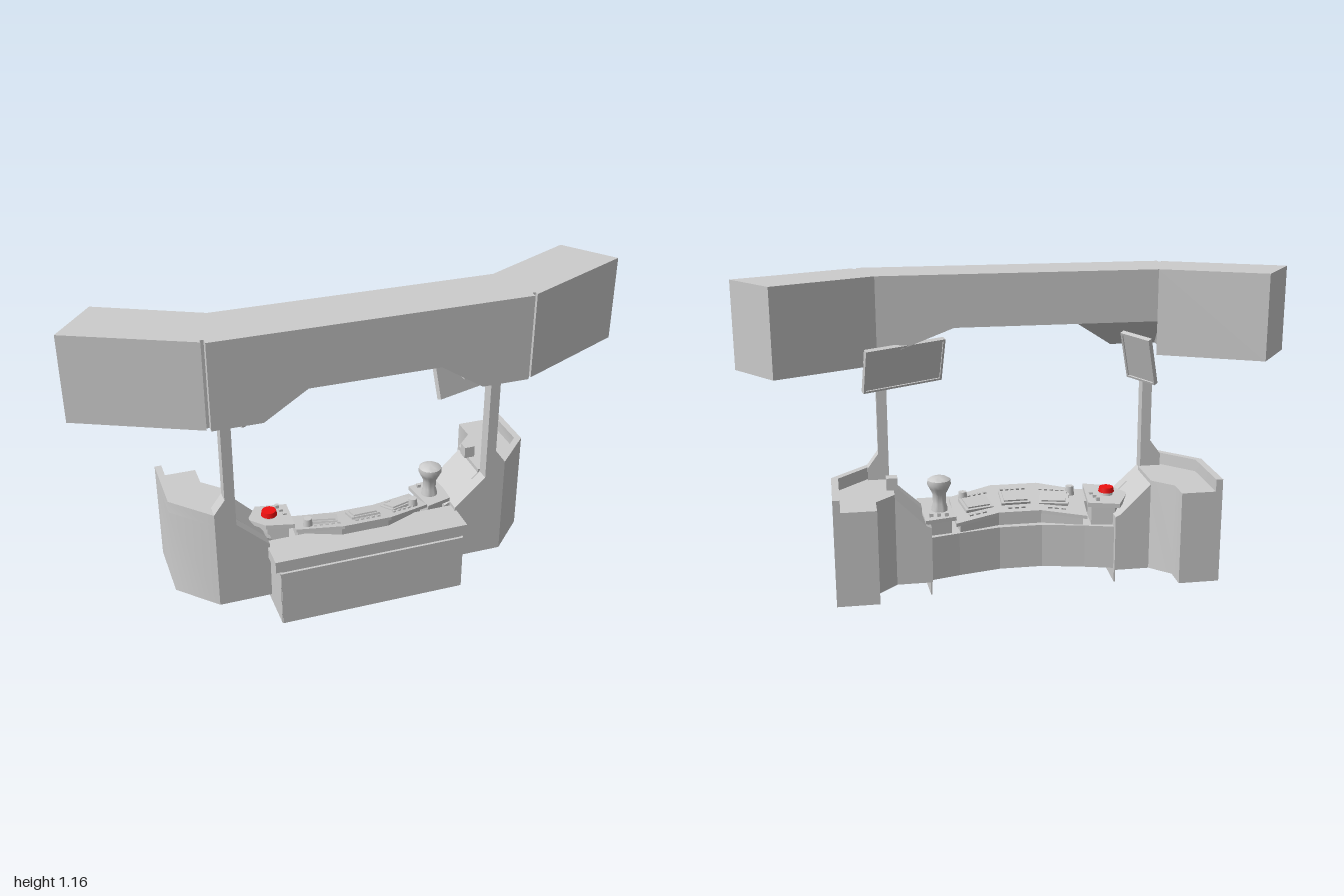
import * as THREE from 'three';
import { toCreasedNormals } from 'three/addons/utils/BufferGeometryUtils.js';

const grey = new THREE.MeshStandardMaterial({ color: 0xcccccc, side: THREE.DoubleSide });
const red = new THREE.MeshStandardMaterial({ color: 0xee1111 });

const shapeOf = (pts) => new THREE.Shape(pts.map(([x, y]) => new THREE.Vector2(x, y)));
const mirror = (pts, s) => pts.map(([a, b]) => [a * s, b]);
const extrude = (pts, depth) =>
  new THREE.ExtrudeGeometry(shapeOf(pts), { depth, bevelEnabled: false });

// Outline in x,z raised from y0 to y1; slope lifts it towards +z
function plan(pts, y0, y1, slope = 0) {
  const g = extrude(pts.map(([x, z]) => [x, -z]), y1 - y0);
  g.rotateX(-Math.PI / 2).translate(0, y0, 0);
  const p = g.attributes.position;
  for (let i = 0; i < p.count; i++) p.setY(i, p.getY(i) + slope * p.getZ(i));
  g.computeVertexNormals();
  return g;
}

// Outline in x,y pushed from z0 to z1
const front = (pts, z0, z1) => extrude(pts, z1 - z0).translate(0, 0, z0);

// Removes the floor, leaving a shell that is open below
function openBelow(g) {
  g.computeBoundingBox();
  const low = g.boundingBox.min.y + 1e-4;
  const p = g.attributes.position;
  const kept = [];
  for (let i = 0; i < p.count; i += 3) {
    if ([0, 1, 2].every((k) => p.getY(i + k) < low)) continue;
    for (let k = 0; k < 3; k++) kept.push(p.getX(i + k), p.getY(i + k), p.getZ(i + k));
  }
  const shell = new THREE.BufferGeometry();
  shell.setAttribute('position', new THREE.Float32BufferAttribute(kept, 3));
  shell.computeVertexNormals();
  return shell;
}

// Centre of the canopy: the notch widens and rises towards the back
function canopyCentre() {
  const g = front([
    [-0.565, 0.845], [-0.39, 0.845], [-0.235, 0.945], [0.235, 0.945],
    [0.39, 0.845], [0.565, 0.845], [0.565, 1.16], [-0.565, 1.16],
  ], 0.03, 0.25);
  const p = g.attributes.position;
  for (let i = 0; i < p.count; i++) {
    const x = p.getX(i);
    if (p.getZ(i) > 0.1 || Math.abs(x) > 0.5) continue;
    if (Math.abs(x) > 0.3) p.setX(i, Math.sign(x) * 0.52);
    p.setY(i, 0.97);
  }
  g.computeVertexNormals();
  return g;
}

export function createModel() {
  const model = new THREE.Group();
  const add = (name, geo, mat = grey, parent = model) => {
    const m = new THREE.Mesh(geo, mat);
    m.name = name;
    parent.add(m);
    return m;
  };
  const box = (name, w, h, d, x, y, z, parent = model) => {
    const m = add(name, new THREE.BoxGeometry(w, h, d), grey, parent);
    m.position.set(x, y, z);
    return m;
  };

  add('canopyCentre', canopyCentre());

  for (const s of [-1, 1]) {
    const side = s > 0 ? 'left' : 'right';
    // Swept-back canopy wing with a narrow seam at the front
    add(side + 'CanopyWing', plan(mirror([
      [0.578, 0.24], [1, 0.04], [0.865, -0.145], [0.51, 0.03], [0.565, 0.03], [0.565, 0.225], [0.578, 0.225],
    ], s), 0.845, 1.16));

    // Flared post and front panel in one plate
    add(side + 'Post', front(mirror([
      [0.36, 0.055], [0.555, 0.055], [0.555, 0.445], [0.515, 0.5], [0.515, 0.86],
      [0.478, 0.86], [0.478, 0.39], [0.36, 0.28],
    ], s), 0.09, 0.14));

    // Side pod: tray shell, raised rim and sloping inner block
    add(side + 'PodTray', toCreasedNormals(openBelow(plan(mirror([
      [0.47, 0.09], [0.555, 0.09], [0.555, 0.14], [0.69, 0], [0.69, -0.25], [0.54, -0.25],
      [0.54, -0.16], [0.47, -0.09],
    ], s), 0.055, 0.4)), 1));
    add(side + 'PodRim', toCreasedNormals(plan(mirror([
      [0.555, 0.14], [0.69, 0], [0.69, -0.25], [0.665, -0.25], [0.665, -0.01], [0.555, 0.105],
    ], s), 0.4, 0.445), 1));
    add(side + 'PodInnerBlock', openBelow(front(mirror([
      [0.34, 0.055], [0.475, 0.055], [0.475, 0.39], [0.36, 0.275], [0.34, 0.265],
    ], s), -0.09, 0.09)));

    // Thin console side running down to the floor
    add(side + 'ConsoleSide', plan(mirror([
      [0.352, 0.245], [0.352, 0.03], [0.347, -0.072], [0.342, -0.072], [0.346, 0.03], [0.346, 0.245],
    ], s), 0, 0.22));
  }
  box('trayBox', 0.04, 0.045, 0.04, 0.475, 0.422, -0.02);

  // Console body with a concave operator side
  add('consoleBody', openBelow(plan([
    [-0.35, 0.235], [0.35, 0.235], [0.35, -0.072], [0.235, -0.04], [0.08, -0.005],
    [-0.08, -0.005], [-0.235, -0.04], [-0.35, -0.072],
  ], 0.055, 0.22)));
  box('consoleLedge', 0.735, 0.045, 0.14, 0, 0.2445, 0.17);
  box('frontPanel', 0.7, 0.22, 0.01, 0, 0.11, 0.245);

  // Three-section dashboard: a base under a wider top plate, rising to the front
  const sections = (w, back, face) => [
    [-w, back - 0.05], [-w - 0.01, face - 0.06], [-0.09, face], [0.09, face],
    [w + 0.01, face - 0.06], [w, back - 0.05], [0.08, back], [-0.08, back],
  ];
  add('dashboardBase', plan(sections(0.23, 0.02, 0.15), 0.2, 0.257, 0.3));
  add('dashboardTop', plan(sections(0.245, 0.01, 0.18), 0.257, 0.27, 0.3));
  const dash = new THREE.Group();
  dash.name = 'dashboardControls';
  model.add(dash);
  const onDash = (name, w, h, d, x, z) => {
    const m = box(name, w, h, d, x, 0.27 + 0.3 * z + h / 2 - 0.003, z, dash);
    m.rotation.set(-0.29, x * 1.8, 0, 'YXZ');
  };
  for (const x of [-0.14, 0.01, 0.16]) {
    const z = 0.09 - 0.9 * x * x;
    onDash('screenFrame', 0.11, 0.012, 0.08, x, z);
    onDash('screen', 0.09, 0.018, 0.062, x, z);
    for (let i = -2; i <= 2; i++) onDash('button', 0.012, 0.009, 0.01, x + i * 0.021, z + 0.056 - i * x * 0.03);
    for (let i = -1; i <= 1; i++) onDash('button', 0.016, 0.009, 0.012, x + i * 0.025, z - 0.056 - i * x * 0.04);
  }
  for (const x of [-0.205, 0.205]) {
    const knob = add('knob', new THREE.CylinderGeometry(0.015, 0.018, 0.035, 16), grey, dash);
    knob.position.set(x, 0.315, 0.1);
  }

  // Stop button shelf on the right, joystick shelf on the left
  const shelf = [[0.26, 0.12], [0.36, 0.09], [0.41, 0.02], [0.36, -0.07], [0.245, -0.045]];
  const pedestal = shelf.map(([x, z]) => [0.31 + (x - 0.31) * 0.75, z * 0.7]);
  add('stopShelfBase', plan(mirror(pedestal, -1), 0.2, 0.3, 0.12));
  add('stopShelf', plan(mirror(shelf, -1), 0.3, 0.317, 0.12));
  const stopBase = add('stopButtonBase', new THREE.CylinderGeometry(0.022, 0.026, 0.02, 20));
  stopBase.position.set(-0.33, 0.325, 0.025);
  const stop = add('stopButton', new THREE.CylinderGeometry(0.026, 0.03, 0.018, 20), red);
  stop.position.set(-0.33, 0.338, 0.025);
  for (let i = 0; i < 3; i++) box('switch', 0.014, 0.02, 0.014, -0.285 + i * 0.006, 0.317, -0.03 + i * 0.03);

  add('joystickShelfBase', plan(pedestal, 0.2, 0.275, 0.06));
  add('joystickShelf', plan(shelf.map(([x, z]) => [Math.min(x, 0.365), z]), 0.275, 0.29, 0.06));
  const stick = add('joystick', toCreasedNormals(new THREE.LatheGeometry([
    [0, 0], [0.031, 0], [0.03, 0.015], [0.024, 0.035], [0.025, 0.07],
    [0.036, 0.092], [0.044, 0.108], [0.042, 0.124], [0.03, 0.132], [0, 0.135],
  ].map(([r, y]) => new THREE.Vector2(r, y)), 20), 0.7));
  stick.position.set(0.3, 0.285, 0.03);
  for (let i = 0; i < 3; i++) box('switch', 0.014, 0.02, 0.014, 0.28 + i * 0.028, 0.29, -0.03);

  // Hanging monitors, facing the operator and tipped downwards
  const monitor = (name, w, h, x, y, z, yaw, tilt, roll) => {
    const g = new THREE.Group();
    g.name = name;
    g.position.set(x, y, z);
    g.rotation.set(tilt, yaw, roll, 'YXZ');
    model.add(g);
    box('casing', w, h, 0.014, 0, 0, 0, g);
    for (const s of [-1, 1]) {
      box('bezel', w, 0.008, 0.006, 0, s * (h / 2 - 0.004), 0.009, g);
      box('bezel', 0.008, h, 0.006, s * (w / 2 - 0.004), 0, 0.009, g);
    }
  };
  monitor('leftMonitor', 0.31, 0.17, 0.415, 0.835, 0.065, Math.PI + 0.38, 0.32, 0.05);
  monitor('rightMonitor', 0.13, 0.19, -0.445, 0.838, 0.025, Math.PI - 0.96, 0.35, -0.1);
  box('leftMonitorArm', 0.1, 0.05, 0.04, 0.43, 0.835, 0.1);
  box('rightMonitorArm', 0.04, 0.05, 0.05, -0.475, 0.83, 0.065);

  return model;
}
